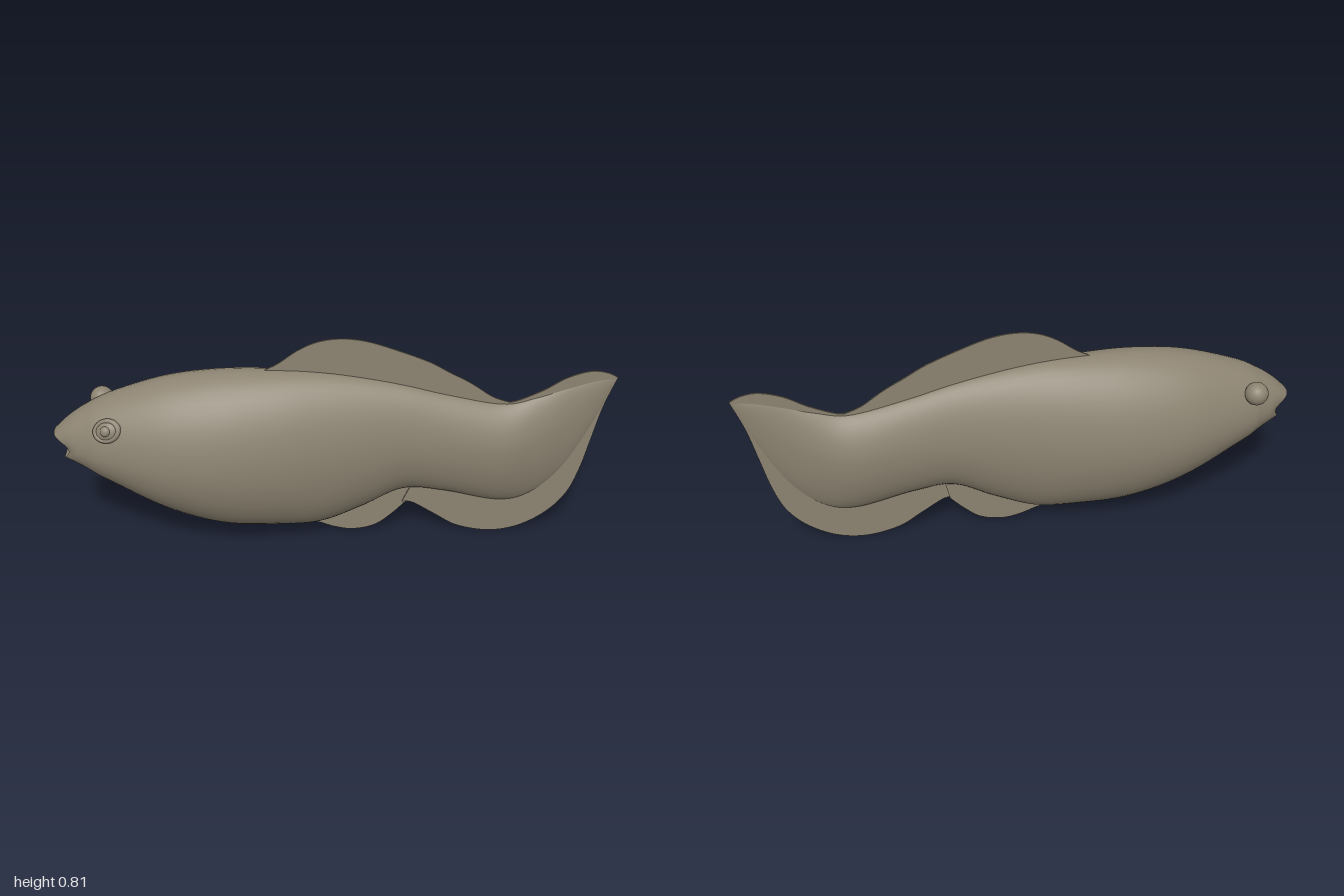
import * as THREE from 'three';

const skin = new THREE.MeshStandardMaterial({ color: 0x8c8371, side: THREE.DoubleSide });
skin.name = 'olive grey skin';

const SIDES = 48;

// Stations from snout to tail: x, top, bottom, half width, widest height, pinch of the section
const stations = [
  [-0.995, 0.465, 0.365, 0.068, 0.42, 0.8],
  [-0.95, 0.51, 0.35, 0.088, 0.42, 0.9],
  [-0.89, 0.555, 0.317, 0.106, 0.42, 1],
  [-0.8, 0.603, 0.26, 0.137, 0.41, 1.08],
  [-0.6, 0.665, 0.143, 0.186, 0.39, 1.1],
  [-0.4, 0.69, 0.075, 0.196, 0.38, 1.1],
  [-0.2, 0.69, 0.06, 0.174, 0.38, 1.1],
  [-0.05, 0.68, 0.065, 0.145, 0.385, 1.15],
  [0.1, 0.657, 0.125, 0.115, 0.4, 1.2],
  [0.25, 0.625, 0.198, 0.09, 0.41, 1.25],
  [0.4, 0.585, 0.185, 0.08, 0.4, 1.3],
  [0.6, 0.545, 0.14, 0.076, 0.38, 1.5],
  [0.72, 0.57, 0.165, 0.05, 0.4, 1.6],
  [0.83, 0.608, 0.27, 0.025, 0.47, 1.6],
  [0.92, 0.635, 0.44, 0.012, 0.56, 1.4],
  [0.995, 0.648, 0.63, 0.002, 0.64, 1],
];
const outline = new THREE.CatmullRomCurve3(
  stations.map(s => new THREE.Vector3(s[0], s[1], s[2])), false, 'catmullrom', 0.5);
const girth = new THREE.CatmullRomCurve3(
  stations.map(s => new THREE.Vector3(s[3], s[4], s[5])), false, 'catmullrom', 0.5);

// Point on the body; the snout rings bend back at the cheeks and under the chin
function bodyPoint(t, a) {
  const o = outline.getPoint(t), g = girth.getPoint(t);
  const c = Math.cos(a), s = Math.sin(a);
  const fade = Math.max(0, 1 - t * 6);
  const x = o.x + fade * (0.04 * Math.abs(s) ** 3 + 0.03 * (1 - c) / 2 - 0.005);
  const y = g.y + c * (c > 0 ? o.y - g.y : g.y - o.z);
  const z = g.x * Math.sign(s) * Math.abs(s) ** g.z;
  return new THREE.Vector3(x, y, z);
}

// Closed-ring surface from point(t, angle)
function loft(rows, point) {
  const pos = [], idx = [];
  for (let i = 0; i <= rows; i++) {
    for (let j = 0; j < SIDES; j++) pos.push(...point(i / rows, j / SIDES * Math.PI * 2).toArray());
  }
  for (let i = 0; i < rows; i++) {
    for (let j = 0; j < SIDES; j++) {
      const a = i * SIDES + j, c = i * SIDES + (j + 1) % SIDES;
      idx.push(a, c, a + SIDES, c, c + SIDES, a + SIDES);
    }
  }
  const geo = new THREE.BufferGeometry();
  geo.setAttribute('position', new THREE.Float32BufferAttribute(pos, 3));
  geo.setIndex(idx);
  geo.computeVertexNormals();
  return geo;
}

// Thin fin: smooth outer edge, straight-line root hidden in the body
function fin(edge, root, z = 0) {
  const shape = new THREE.Shape();
  shape.moveTo(...edge[0]);
  shape.splineThru(edge.slice(1).map(p => new THREE.Vector2(...p)));
  root.forEach(p => shape.lineTo(...p));
  const geo = new THREE.ExtrudeGeometry(shape, { depth: 0.006, bevelEnabled: false, curveSegments: 40 });
  return geo.translate(0, 0, z - 0.003);
}

export function createModel() {
  const model = new THREE.Group();
  model.name = 'fish';
  const add = (name, geo, parent = model) => {
    const mesh = new THREE.Mesh(geo, skin);
    mesh.name = name;
    parent.add(mesh);
    return mesh;
  };

  add('body', loft(100, bodyPoint));

  // Mouth hollow, running from the throat out to the lips
  const throat = new THREE.Vector3(-0.91, 0.415, 0);
  add('mouth', loft(6, (t, a) => {
    const p = bodyPoint(0, a), q = throat.clone().lerp(p, t);
    q.x = throat.x + (p.x - throat.x) * t * t;
    return q;
  }));

  // Fins
  add('dorsalFin', fin(
    [[-0.26, 0.685], [-0.2, 0.715], [-0.13, 0.765], [-0.06, 0.797], [0.02, 0.808], [0.11, 0.797],
      [0.22, 0.76], [0.33, 0.715], [0.4, 0.675], [0.48, 0.63], [0.56, 0.575], [0.62, 0.552]],
    [[0.6, 0.52], [0.4, 0.55], [0.2, 0.6], [0, 0.64]]));
  add('ventralFin', fin(
    [[-0.2, 0.065], [-0.08, 0.052], [0, 0.025], [0.07, 0.014], [0.15, 0.032], [0.21, 0.078], [0.265, 0.135]],
    [[0.29, 0.24], [0.1, 0.18], [-0.05, 0.1]], -0.006));
  add('tailFinLower', fin(
    [[0.25, 0.137], [0.29, 0.132], [0.37, 0.082], [0.46, 0.027], [0.58, 0.003], [0.69, 0.022], [0.79, 0.082],
      [0.86, 0.165], [0.9, 0.27], [0.93, 0.4], [0.96, 0.53], [1, 0.645]],
    [[0.92, 0.58], [0.8, 0.4], [0.6, 0.3], [0.3, 0.25]]));
  add('tailFinUpper', fin(
    [[0.6, 0.55], [0.65, 0.557], [0.74, 0.597], [0.82, 0.645], [0.9, 0.67], [0.96, 0.664], [1, 0.645]],
    [[0.92, 0.58], [0.8, 0.54], [0.65, 0.5]]));

  // Right-hand eye: a round ball
  add('eyeBall', new THREE.SphereGeometry(0.042, 28, 20)).position.set(-0.84, 0.53, -0.115);

  // Other eye: a flattened disc with a rim and pupil
  const eye = new THREE.Group();
  eye.name = 'flatEye';
  eye.position.set(-0.793, 0.517, 0.108);
  eye.rotation.set(-0.4, -0.25, 0.25);
  add('eyeDisc', new THREE.SphereGeometry(0.046, 28, 16).scale(1, 0.82, 0.5), eye);
  add('eyeRim', new THREE.TorusGeometry(0.042, 0.011, 10, 32).scale(1, 0.82, 1), eye).position.z = 0.005;
  add('pupil', new THREE.SphereGeometry(0.018, 16, 12).scale(1, 1, 0.6), eye).position.z = 0.022;
  model.add(eye);

  return model;
}
